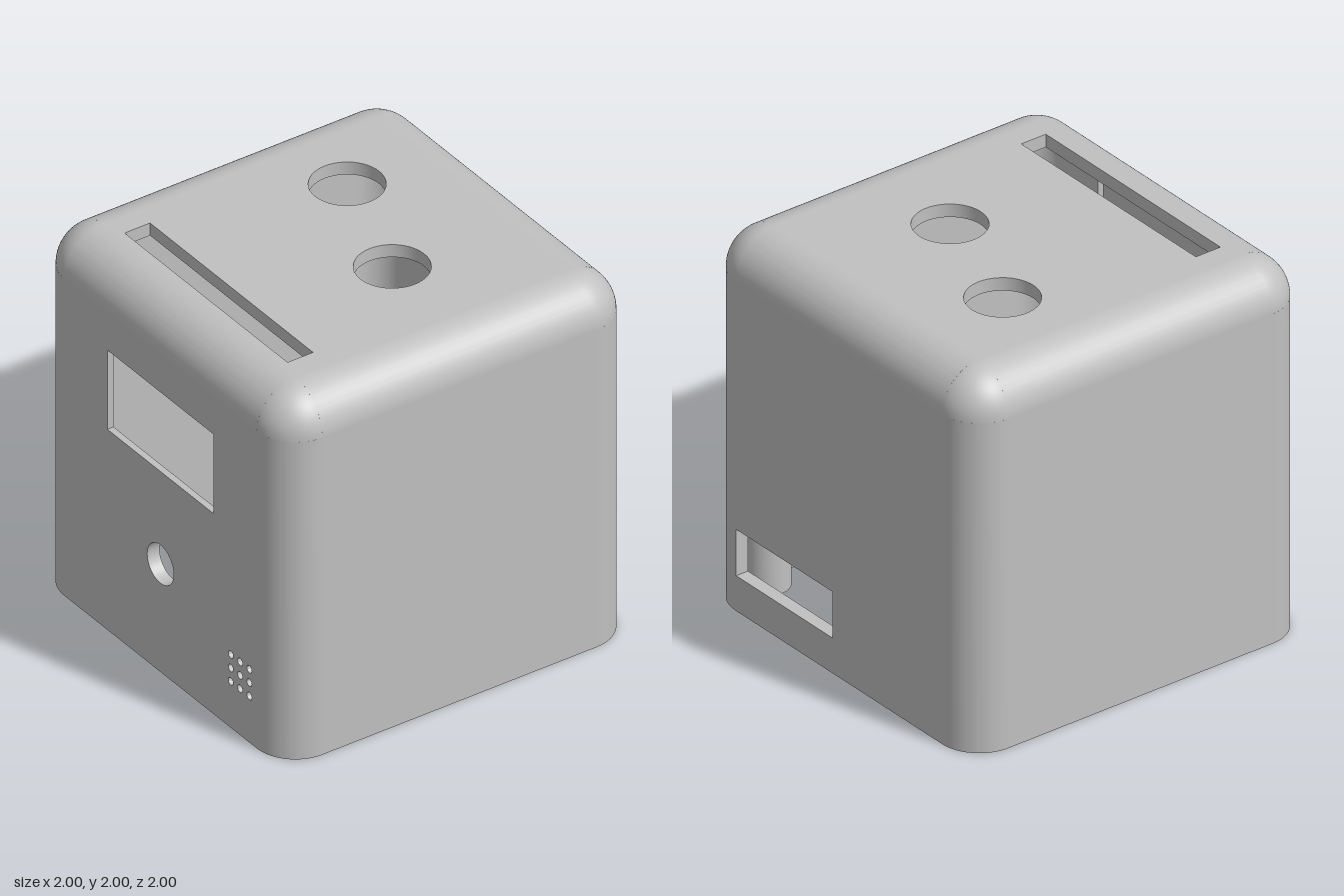
import * as THREE from 'three';
import { toCreasedNormals } from 'three/addons/utils/BufferGeometryUtils.js';

const R = 0.22;        // outer fillet radius
const T = 0.07;        // wall thickness
const C = 1 - R;       // half width of the flat panels
const H = 2 - R;       // height where the top fillet starts
const Q = Math.PI / 2;

export function createModel() {
  const model = new THREE.Group();
  model.name = 'enclosure';
  const plastic = new THREE.MeshStandardMaterial({ color: 0xc0c0c0 });
  plastic.name = 'greyPlastic';

  const add = (name, geometry, parent = model) => {
    const mesh = new THREE.Mesh(geometry, plastic);
    mesh.name = name;
    parent.add(mesh);
    return mesh;
  };
  const rect = (x0, y0, x1, y1, Type = THREE.Path) => {
    const p = new Type();
    p.moveTo(x0, y0).lineTo(x1, y0).lineTo(x1, y1).lineTo(x0, y1).closePath();
    return p;
  };
  const disc = (x, y, r, Type = THREE.Path) => new Type().absarc(x, y, r, 0, Math.PI * 2);
  const extrude = (shape, depth, curveSegments) => toCreasedNormals(
    new THREE.ExtrudeGeometry(shape, { depth, curveSegments, bevelEnabled: false }), 0.6);
  // Flat wall drawn in x/y, with cut-outs
  const panel = (y0, y1, holes, depth) => {
    const shape = rect(-C, y0, C, y1, THREE.Shape);
    shape.holes.push(...holes);
    return extrude(shape, depth, 24);
  };

  // Front wall: an outer skin with the window, an inner skin with a larger display recess
  const frontHoles = () => {
    const holes = [disc(0, 0.605, 0.107)];
    for (const x of [0.57, 0.645, 0.72])
      for (const y of [0.26, 0.335, 0.41]) holes.push(disc(x, y, 0.02));
    return holes;
  };
  add('frontWallOuter', panel(0, H, [rect(-0.43, 1.125, 0.43, 1.57), ...frontHoles()], T / 2))
    .position.z = 1 - T / 2;
  add('frontWallInner', panel(0, H, [rect(-0.51, 0.87, 0.51, 1.75), ...frontHoles()], T / 2))
    .position.z = 1 - T;

  // Back wall with the cable slot
  add('backWall', panel(0, H, [rect(0.05, 0.19, 0.78 - 0.003, 0.44)], T)).position.z = -1;

  // Plain side walls
  for (const [name, s] of [['leftWall', 1], ['rightWall', -1]]) {
    const wall = add(name, panel(0, H, [], T));
    wall.rotation.y = s * Q;
    wall.position.x = s * (1 - T);
  }

  // Top wall with two round holes and a long slot (shape y becomes -z)
  const top = add('topWall', panel(-C, C, [
    disc(-0.4, 0.345, 0.182), disc(0.285, 0.12, 0.182), rect(-0.66, -0.74, 0.66, -0.595),
  ], T));
  top.rotation.x = -Q;
  top.position.y = 2 - T;

  // Rounded edges and corners, repeated around the box
  const quarter = new THREE.Shape();
  quarter.absarc(0, 0, R, 0, Q, false);
  quarter.lineTo(0, R - T);
  quarter.absarc(0, 0, R - T, Q, 0, true);
  quarter.closePath();
  const postEdge = extrude(quarter, H, 16).rotateX(-Q).translate(C, 0, -C);
  const topEdge = extrude(quarter, 2 * C, 16).translate(C, H, -C);
  const arc = (r, flip) => {
    const pts = Array.from({ length: 17 }, (_, i) =>
      new THREE.Vector2(r * Math.cos(i / 16 * Q), r * Math.sin(i / 16 * Q)));
    if (flip) pts.reverse();
    return new THREE.LatheGeometry(pts, 16, 0, Q).translate(C, H, C);
  };
  const cornerOuter = arc(R, false);
  const cornerInner = arc(R - T, true);

  // Screw post with a pilot hole
  const ring = disc(0, 0, 0.115, THREE.Shape);
  ring.holes.push(disc(0, 0, 0.025));
  const post = extrude(ring, 0.355, 20).rotateX(-Q).translate(0.8, 0.065, 0.8);

  for (let i = 0; i < 4; i++) {
    const side = new THREE.Group();
    side.name = 'cornerSection';
    side.rotation.y = i * Q;
    add('verticalEdge', postEdge, side);
    add('topEdge', topEdge, side);
    add('cornerOuter', cornerOuter, side);
    add('cornerInner', cornerInner, side);
    add('screwPost', post, side);
    model.add(side);
  }
  return model;
}
